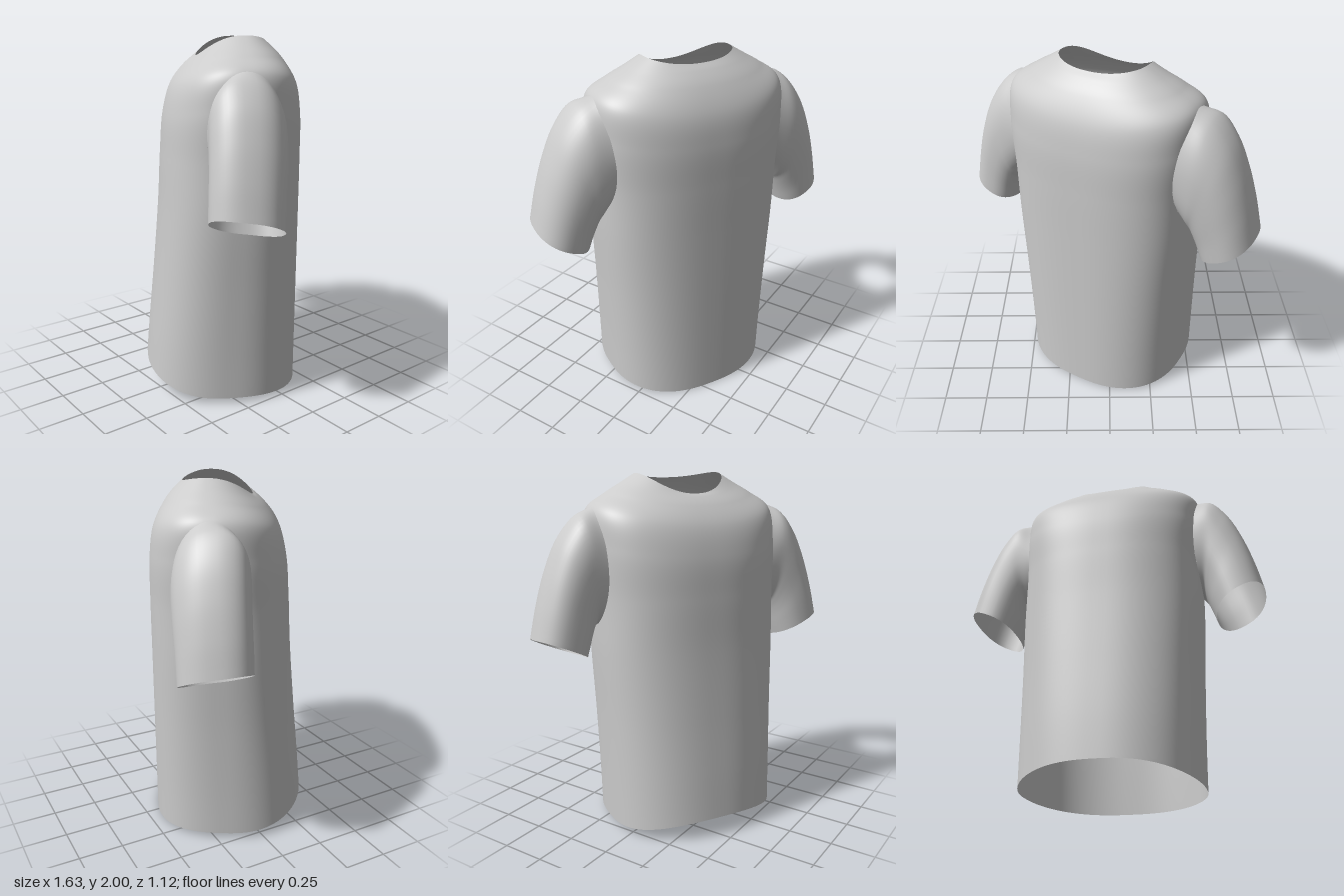
import * as THREE from 'three';

const fabric = new THREE.MeshStandardMaterial({ color: 0xcccccc, side: THREE.DoubleSide });
const lerp = THREE.MathUtils.lerp;
const spow = (v, p) => Math.sign(v) * Math.pow(Math.abs(v), p);

// Smooth open skin through a stack of closed rings; ringPoint(ring, angle) gives a Vector3
function loft(name, rings, ringPoint, around, along) {
  const pos = [], index = [];
  for (let j = 0; j < around; j++) {
    const angle = (j / around) * Math.PI * 2;
    const column = new THREE.CatmullRomCurve3(rings.map(r => ringPoint(r, angle)));
    for (let i = 0; i <= along; i++) pos.push(...column.getPoint(i / along).toArray());
  }
  const n = along + 1;
  for (let j = 0; j < around; j++) {
    for (let i = 0; i < along; i++) {
      const a = j * n + i, b = ((j + 1) % around) * n + i;
      index.push(a, a + 1, b, b, a + 1, b + 1);
    }
  }
  const geo = new THREE.BufferGeometry();
  geo.setAttribute('position', new THREE.Float32BufferAttribute(pos, 3));
  geo.setIndex(index);
  geo.computeVertexNormals();
  const mesh = new THREE.Mesh(geo, fabric);
  mesh.name = name;
  return mesh;
}

// Body rings, hem to neckline:
// half width, front z, back z, side z, side y, front y, back y, roundness
const bodyRings = [
  [0.495, 0.5, -0.385, 0.05, 0.03, 0.11, 0.0, 0.8],
  [0.5, 0.48, -0.385, 0.045, 0.28, 0.33, 0.26, 0.79],
  [0.512, 0.445, -0.385, 0.03, 0.65, 0.68, 0.65, 0.78],
  [0.53, 0.412, -0.385, 0.01, 1.05, 1.06, 1.05, 0.78],
  [0.535, 0.395, -0.385, -0.005, 1.35, 1.35, 1.35, 0.78],
  [0.55, 0.375, -0.38, -0.02, 1.62, 1.57, 1.58, 0.79],
  [0.535, 0.33, -0.355, -0.03, 1.81, 1.73, 1.74, 0.82],
  [0.43, 0.26, -0.29, -0.04, 1.89, 1.83, 1.87, 0.88],
  [0.335, 0.21, -0.235, -0.05, 1.945, 1.875, 1.935, 0.9],
  [0.25, 0.185, -0.2, -0.055, 1.995, 1.89, 1.965, 0.9],
];
function bodyPoint([w, front, back, side, ys, yf, yb, p], t) {
  const c = Math.cos(t), s = Math.sin(t);
  const reach = s > 0 ? front - side : side - back;
  return new THREE.Vector3(
    w * spow(c, p),
    lerp(ys, s > 0 ? yf : yb, s * s),
    side + reach * spow(s, p));
}

// Oval armhole as seen from the side
const armhole = { y: 1.5, z: -0.02, height: 0.32, depth: 0.2 };

// Opens both armholes by dropping the body faces inside the ovals
function cutArmholes(geo) {
  const p = geo.attributes.position, old = geo.index.array, kept = [];
  for (let i = 0; i < old.length; i += 3) {
    const tri = [old[i], old[i + 1], old[i + 2]];
    const mid = get => tri.reduce((sum, v) => sum + p[get](v), 0) / 3;
    const dy = (mid('getY') - armhole.y) / armhole.height;
    const dz = (mid('getZ') - armhole.z) / armhole.depth;
    if (Math.abs(mid('getX')) < 0.3 || dy * dy + dz * dz > 0.92) kept.push(...tri);
  }
  geo.setIndex(kept);
}

// Sleeve rings from the cuff up: outer x, outer y, inner x, inner y, half depth, centre z
const sleeveRings = [
  [0.892, 1.14, 0.605, 1.01, 0.19, 0.012],
  [0.85, 1.32, 0.585, 1.07, 0.192, 0.005],
  [0.79, 1.51, 0.568, 1.12, 0.195, -0.005],
  [0.715, 1.67, 0.555, 1.155, 0.198, -0.012],
  [0.62, 1.78, 0.545, 1.175, 0.2, -0.018],
];

// A sleeve whose last ring is laid onto the body's surface around the armhole
function makeSleeve(name, side, body) {
  const ray = new THREE.Raycaster();
  const inward = new THREE.Vector3(-side, 0, 0);
  const point = (ring, angle) => {
    const t = angle * side; // reversed on the mirrored side so the outside stays outside
    const c = Math.cos(t), s = Math.sin(t);
    if (ring === armhole) {
      const start = new THREE.Vector3(
        side * 2, armhole.y + armhole.height * c, armhole.z + armhole.depth * s);
      ray.set(start, inward);
      return ray.intersectObject(body)[0].point;
    }
    const [ox, oy, ix, iy, depth, z] = ring;
    const k = (1 - spow(c, 0.85)) / 2;
    return new THREE.Vector3(
      side * lerp(ox, ix, k),
      lerp(oy, iy, k) + 0.035 * s,
      z + depth * spow(s, 0.85));
  };
  return loft(name, [...sleeveRings, armhole], point, 48, 30);
}

export function createModel() {
  const shirt = new THREE.Group();
  shirt.name = 'shirt';
  const body = loft('body', bodyRings, bodyPoint, 144, 110);
  const left = makeSleeve('leftSleeve', 1, body);
  const right = makeSleeve('rightSleeve', -1, body);
  cutArmholes(body.geometry);
  shirt.add(body, left, right);
  // The garment stands turned about the vertical
  shirt.rotation.y = -Math.PI / 6;

  const model = new THREE.Group();
  model.name = 'tShirt';
  model.add(shirt);
  return model;
}
